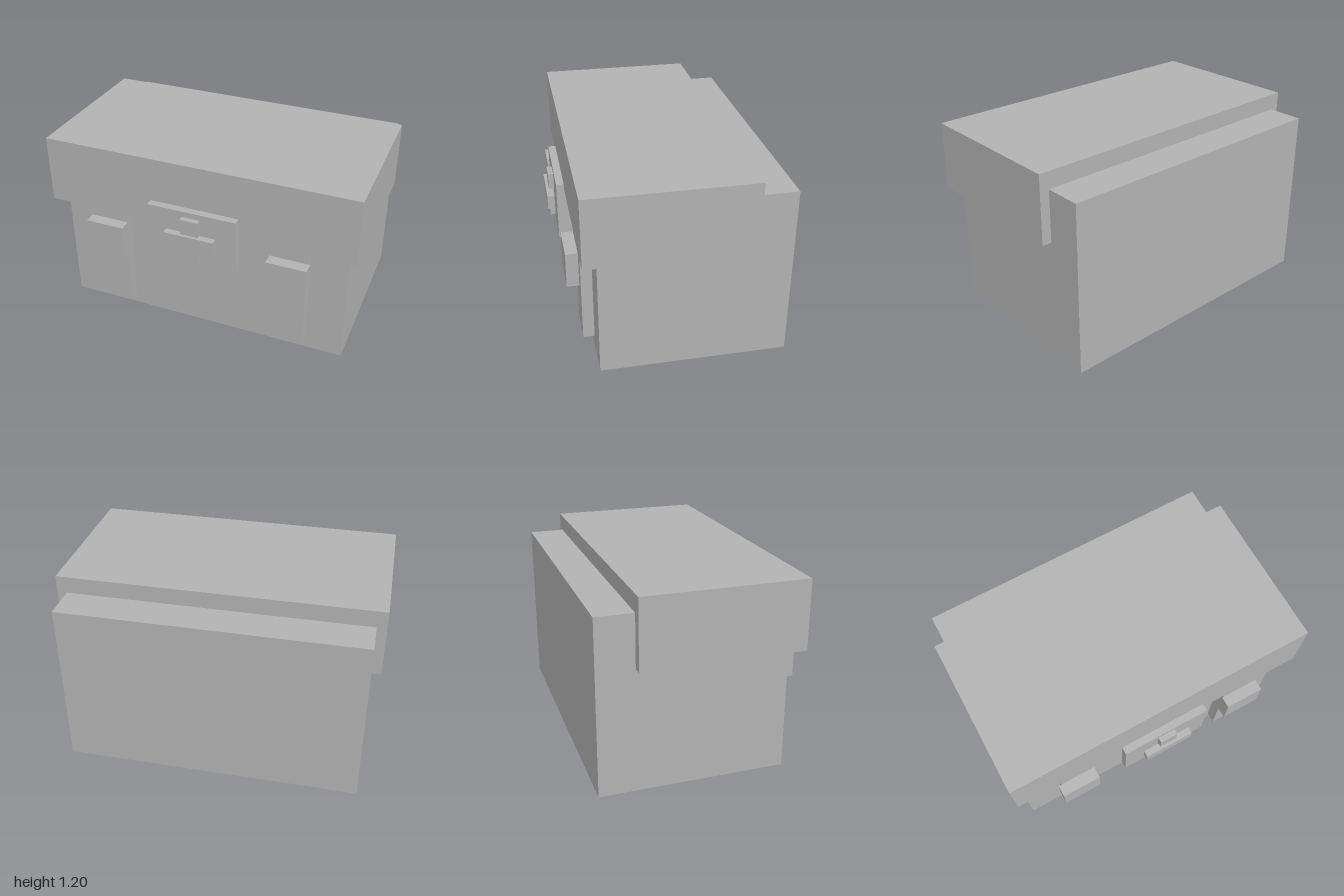
import * as THREE from 'three';

export function createModel() {
  const group = new THREE.Group();
  group.name = 'chest';
  const grey = new THREE.MeshStandardMaterial({ color: 0xb2b2b2 });
  grey.name = 'plain grey';

  // Box given by its extents along each axis
  function addBox(name, [x0, x1], [y0, y1], [z0, z1]) {
    const mesh = new THREE.Mesh(new THREE.BoxGeometry(x1 - x0, y1 - y0, z1 - z0), grey);
    mesh.position.set((x0 + x1) / 2, (y0 + y1) / 2, (z0 + z1) / 2);
    mesh.name = name;
    group.add(mesh);
  }

  // Main case and the overhanging lid
  addBox('body', [-0.94, 0.94], [0, 1.093], [-0.675, 0.475]);
  addBox('lid', [-1, 1], [0.767, 1.2], [-0.445, 0.562]);

  // Straps with buckles, mirrored
  for (const [side, s] of [['left', 1], ['right', -1]]) {
    const span = (a, b) => (s > 0 ? [a, b] : [-b, -a]);
    addBox(side + 'Strap', span(0.492, 0.703), [0.077, 0.79], [0.46, 0.545]);
    addBox(side + 'Buckle', span(0.473, 0.725), [0.48, 0.703], [0.555, 0.629]);
  }

  // Lock plate with raised cross latch
  addBox('lockPlate', [-0.286, 0.286], [0.558, 0.927], [0.58, 0.627]);
  addBox('latchUpright', [-0.057, 0.057], [0.598, 0.89], [0.627, 0.66]);
  addBox('latchBar', [-0.16, 0.16], [0.698, 0.787], [0.636, 0.678]);

  return group;
}
